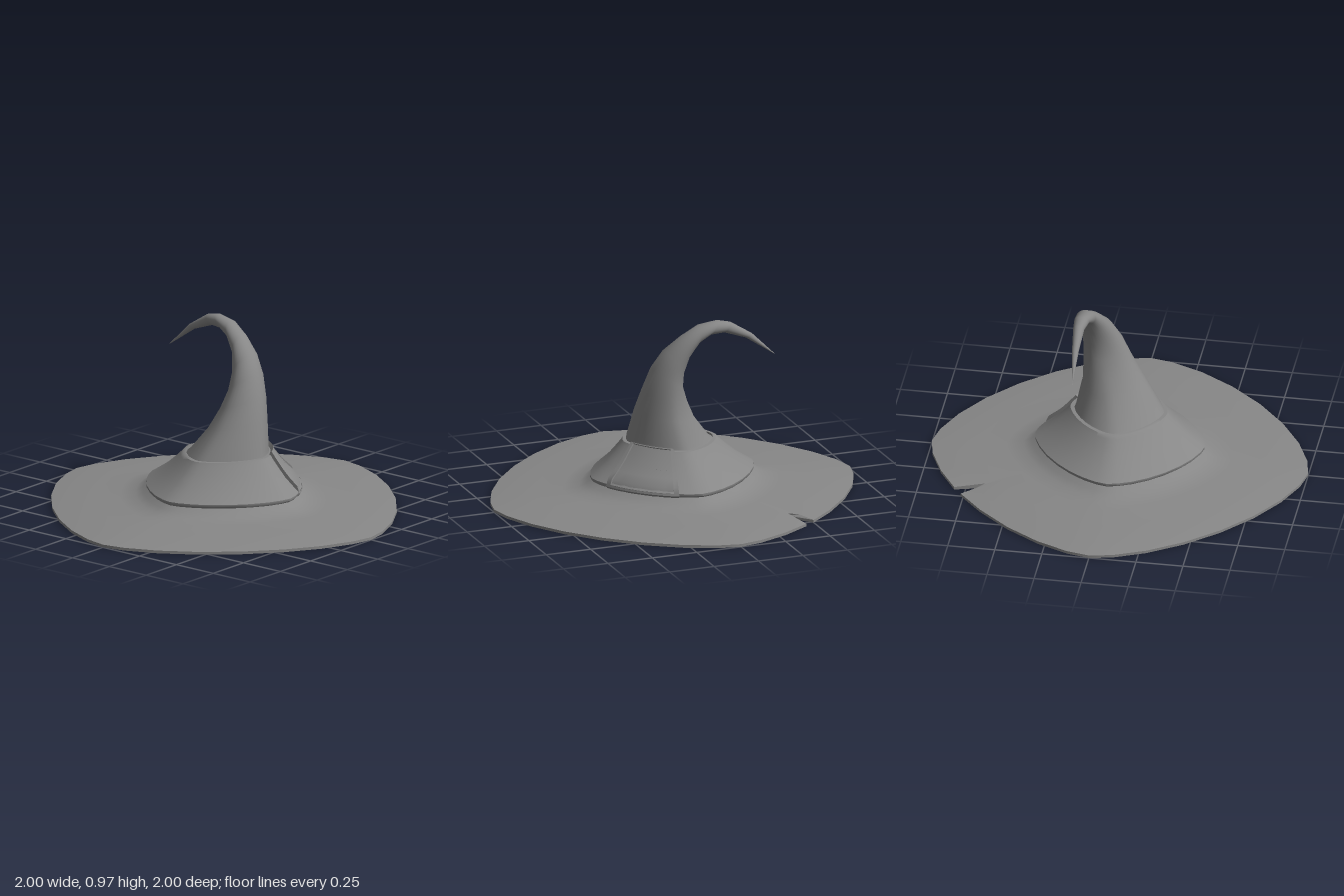
import * as THREE from 'three';
import { toCreasedNormals } from 'three/addons/utils/BufferGeometryUtils.js';

const rad = THREE.MathUtils.degToRad;
const material = new THREE.MeshStandardMaterial({ color: 0x878787, side: THREE.DoubleSide });

// Rounded-diamond outline: unit point at parameter t, counterclockwise from above
const spow = (v, p) => Math.sign(v) * Math.pow(Math.abs(v), p);
function outline(t, n = 1.55) {
  return [spow(Math.cos(t), 2 / n), -spow(Math.sin(t), 2 / n)];
}

// Skin a list of rings (each the same number of points)
function skin(name, rings, closed, crease) {
  const cols = rings[0].length;
  const index = [];
  for (let i = 0; i < rings.length - 1; i++) {
    for (let j = 0; j < (closed ? cols : cols - 1); j++) {
      const k = (j + 1) % cols;
      const a = i * cols + j, b = i * cols + k;
      index.push(a, b, b + cols, a, b + cols, a + cols);
    }
  }
  let geometry = new THREE.BufferGeometry().setFromPoints(rings.flat());
  geometry.setIndex(index);
  if (crease) geometry = toCreasedNormals(geometry, crease);
  else geometry.computeVertexNormals();
  const mesh = new THREE.Mesh(geometry, material);
  mesh.name = name;
  return mesh;
}

const angles = Array.from({ length: 32 }, (_, i) => i * 11.25);

// The crown shifts forward and tips slightly back as it rises
function ringPoint(t, r, y) {
  const [x, z] = outline(t);
  const lean = THREE.MathUtils.clamp((y - 0.12) / 0.18, 0, 1);
  return new THREE.Vector3(x * r + 0.008 * lean, y + 0.04 * lean * z * r, z * r + 0.018 * lean);
}

// Brim: underside, edge and top, with one notch torn in the edge
function brim() {
  const tear = 34.4;
  const columns = angles.flatMap((a) => (a === 33.75 ? [32, tear, 35.7] : [a]));
  const profile = [
    [0.6, 0.03], [0.8, 0.012], [1, 0], [1, 0.015], [0.9, 0.028], [0.75, 0.041], [0.6, 0.052],
    [0.51, 0.062], [0.47, 0.082], [0.43, 0.108], [0.36, 0.165],
  ];
  const rings = profile.map(([r, y]) =>
    columns.map((a) => ringPoint(rad(a), a === tear ? Math.min(r, 0.833) : r, y)));
  return skin('brim', rings, true, 0.75);
}

// Hat band with a rolled lower edge and a lip at the top
function band() {
  const profile = [
    [0.42, 0.108], [0.44, 0.1], [0.45, 0.11], [0.45, 0.122], [0.425, 0.14], [0.36, 0.19],
    [0.305, 0.245], [0.27, 0.283], [0.258, 0.298], [0.238, 0.299], [0.234, 0.28],
  ];
  return skin('hatBand', profile.map(([r, y]) => angles.map((a) => ringPoint(rad(a), r, y))), true, 0.8);
}

// Hollow pointed crown, flaring into the underside of the brim
function crown() {
  const flare = [[0.6, 0.03], [0.5, 0.042], [0.42, 0.068], [0.35, 0.125], [0.285, 0.21]]
    .map(([r, y]) => [r, y, -r, y, -r, r]);
  // Each section: outer z, y, inner z, y, x from, x to
  const sections = [
    ...flare,
    [0.262, 0.275, -0.235, 0.27, -0.245, 0.25],
    [0.25, 0.33, -0.2, 0.29, -0.222, 0.237],
    [0.222, 0.48, -0.1, 0.42, -0.125, 0.208],
    [0.19, 0.6, -0.05, 0.52, -0.06, 0.205],
    [0.15, 0.72, -0.015, 0.61, -0.01, 0.204],
    [0.09, 0.82, -0.01, 0.69, 0.037, 0.207],
    [0, 0.9, -0.03, 0.78, 0.085, 0.213],
    [-0.09, 0.957, -0.08, 0.86, 0.115, 0.217],
    [-0.19, 0.973, -0.14, 0.9, 0.135, 0.215],
    [-0.26, 0.957, -0.22, 0.905, 0.15, 0.209],
    [-0.38, 0.88, -0.345, 0.86, 0.159, 0.195],
    [-0.51, 0.75, -0.507, 0.749, 0.169, 0.172],
  ];
  const rings = sections.map(([oz, oy, iz, iy, x0, x1], i) =>
    angles.map((a) => {
      const roundness = THREE.MathUtils.clamp(1.55 + (i - flare.length) * 0.1, 1.55, 2);
      const [u, w] = outline(rad(a), roundness);
      return new THREE.Vector3(
        (x0 + x1) / 2 + (u * (x1 - x0)) / 2,
        (oy + iy) / 2 + (w * (oy - iy)) / 2,
        (oz + iz) / 2 + (w * (oz - iz)) / 2);
    }));
  return skin('pointedCrown', rings, true);
}

// Point on the buckle panel at the front left: u across, v up, h height above the band
const panelCurve = new THREE.SplineCurve([
  [0.443, 0.098], [0.425, 0.14], [0.36, 0.19], [0.305, 0.245], [0.268, 0.285], [0.253, 0.304],
].map(([x, y]) => new THREE.Vector2(x, y)));
function panelPoint(u, v, h) {
  const p = panelCurve.getPoint(v);
  return ringPoint(rad(-69.5 + 48.5 * u), p.x + 0.67 * h, p.y + 0.74 * h);
}

// Buckle: a raised frame around a lower plate
function buckle() {
  const group = new THREE.Group();
  group.name = 'buckle';
  const steps = [0, 0, 0.07, 0.07, 0.2, 0.35, 0.5, 0.65, 0.8, 0.93, 0.93, 1, 1];
  const heights = steps.map((_, i) => {
    const e = Math.min(i, steps.length - 1 - i);
    return e === 0 ? -0.008 : e < 3 ? 0.016 : 0.008;
  });
  const rings = steps.map((v, i) => steps.map((u, j) => {
    const low = Math.min(heights[i], heights[j]);
    return panelPoint(u, v, low < 0 ? low : Math.max(heights[i], heights[j]));
  }));
  group.add(skin('buckleFrame', rings, false, 0.6));

  // Small rivets across the plate
  const rivet = new THREE.SphereGeometry(0.003, 8, 6);
  for (const u of [0.55, 0.68, 0.74, 0.84]) {
    const mesh = new THREE.Mesh(rivet, material);
    mesh.name = 'rivet';
    mesh.position.copy(panelPoint(u, 0.47, 0.008));
    group.add(mesh);
  }
  return group;
}

export function createModel() {
  const hat = new THREE.Group();
  hat.name = 'pointedHat';
  hat.add(brim(), band(), crown(), buckle());
  return hat;
}
